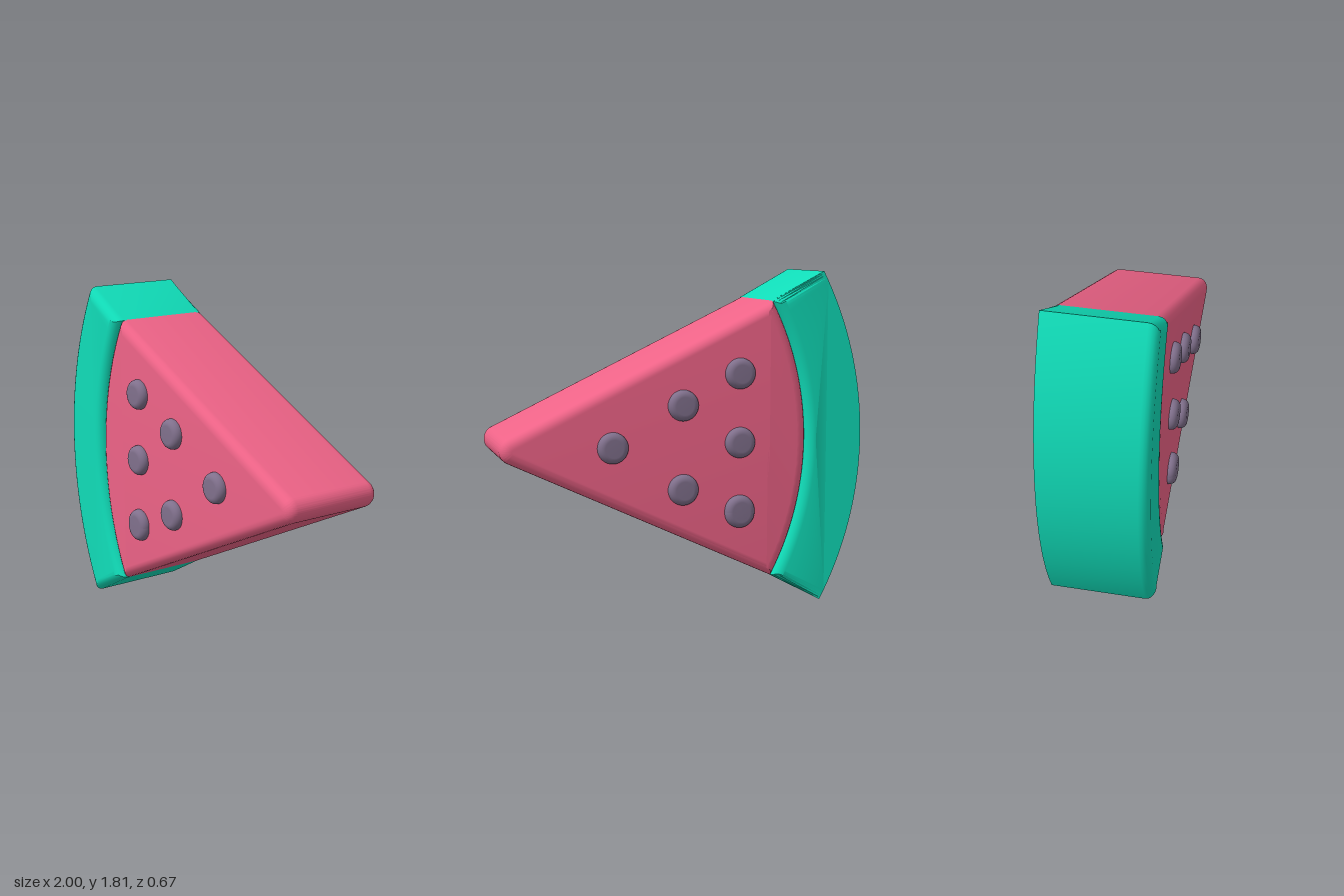
import * as THREE from 'three';
import { toCreasedNormals } from 'three/addons/utils/BufferGeometryUtils.js';

const CX = 0.9, CY = 0.905;          // shared centre of the rind and flesh arcs
const R_OUT = 1.9, R_IN = 1.57;      // rind radii
const HALF = 0.4966;                 // half of the rind's angle
const BEVEL = 0.055;

const material = (color) => new THREE.MeshStandardMaterial({ color });

// Extrude an outline between two depths with rounded edges kept inside it
function roundedSlab(shape, back, front) {
  const geo = new THREE.ExtrudeGeometry(shape, {
    depth: front - back - 2 * BEVEL, curveSegments: 28,
    bevelThickness: BEVEL, bevelSize: BEVEL, bevelOffset: -BEVEL, bevelSegments: 5,
  });
  return geo.translate(0, 0, back + BEVEL);
}

// Wedge with a curved left side and a rounded tip
function fleshGeometry() {
  const r = 0.072, slope = 0.4486, tipX = 0.928;
  const shape = new THREE.Shape();
  shape.absarc(CX, CY, R_IN + 0.004, Math.PI - HALF, Math.PI + HALF, false);
  shape.absarc(tipX, CY, r, -Math.PI / 2 + slope, Math.PI / 2 - slope, false);
  shape.closePath();
  return toCreasedNormals(roundedSlab(shape, -0.295, 0.29), 0.5);
}

// Arc band, rounded everywhere but along its sharp outer back edge
function rindGeometry() {
  const shape = new THREE.Shape();
  shape.absarc(CX, CY, R_OUT, Math.PI - HALF, Math.PI + HALF, false);
  shape.absarc(CX, CY, R_IN, Math.PI + HALF, Math.PI - HALF, true);
  shape.closePath();
  const geo = roundedSlab(shape, -0.297, 0.305);
  const p = geo.attributes.position;
  for (let i = 0; i < p.count; i++) {
    const dx = p.getX(i) - CX, dy = p.getY(i) - CY, r = Math.hypot(dx, dy);
    if (p.getZ(i) < -0.2 && r > 1.8) {
      p.setXYZ(i, CX + dx * R_OUT / r, CY + dy * R_OUT / r, -0.27);
    }
  }
  return toCreasedNormals(geo, 0.5);
}

// Round-edged peg that shows on both faces of the slice
function seedGeometry() {
  const h = 0.334, r = 0.083, c = 0.035;
  const pts = [new THREE.Vector2(0, -h)];
  for (const side of [-1, 1]) {
    for (let i = 0; i <= 5; i++) {
      const a = (side < 0 ? i / 5 - 1 : i / 5) * Math.PI / 2;
      pts.push(new THREE.Vector2(r - c + c * Math.cos(a), side * (h - c) + c * Math.sin(a)));
    }
  }
  pts.push(new THREE.Vector2(0, h));
  return new THREE.LatheGeometry(pts, 32).rotateX(Math.PI / 2);
}

export function createModel() {
  const model = new THREE.Group();
  model.name = 'watermelonSlice';
  const add = (name, geo, mat, x = 0, y = 0, z = 0) => {
    const mesh = new THREE.Mesh(geo, mat);
    mesh.name = name;
    mesh.position.set(x, y, z);
    model.add(mesh);
  };

  add('flesh', fleshGeometry(), material(0xee6387));
  add('rind', rindGeometry(), material(0x10dcb8));

  // Seeds in a triangle, with two overlapping at the lower left
  const seed = seedGeometry(), seedMat = material(0x80708c);
  const spots = [
    [-0.287, 1.275], [-0.287, 0.905], [-0.287, 0.537], [-0.287, 0.525],
    [0.03, 1.115], [0.03, 0.665], [0.413, 0.905],
  ];
  spots.forEach(([x, y], i) => add(`seed${i + 1}`, seed, seedMat, x, y, -0.002));

  return model;
}
